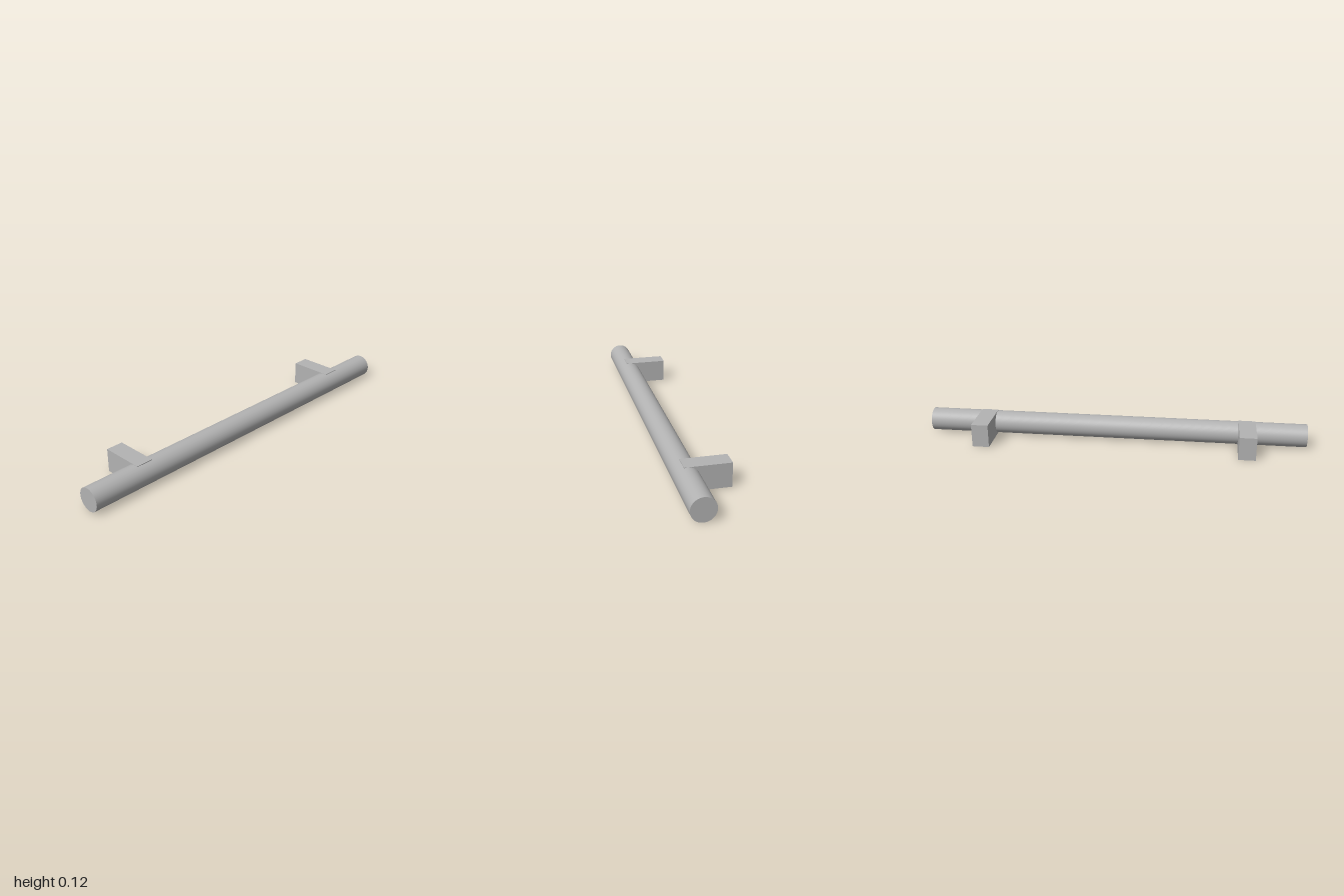
import * as THREE from 'three';

export function createModel() {
  const group = new THREE.Group();
  const metal = new THREE.MeshStandardMaterial({ color: 0xb3b3b3 });
  metal.name = 'satin grey';

  const height = 0.1215;
  const add = (name, geometry, x, z) => {
    const mesh = new THREE.Mesh(geometry, metal);
    mesh.name = name;
    mesh.position.set(x, height / 2, z);
    group.add(mesh);
  };

  // Long round grip bar running front to back
  const bar = new THREE.CylinderGeometry(0.06, 0.06, 2, 64).rotateX(Math.PI / 2);
  add('gripBar', bar, 0.073, 0);

  // Two flat mounting posts, just taller than the bar and sunk into it
  const left = -0.134, right = 0.09;
  const post = new THREE.BoxGeometry(right - left, height, 0.088);
  add('frontPost', post, (left + right) / 2, 0.69);
  add('backPost', post, (left + right) / 2, -0.69);

  return group;
}
